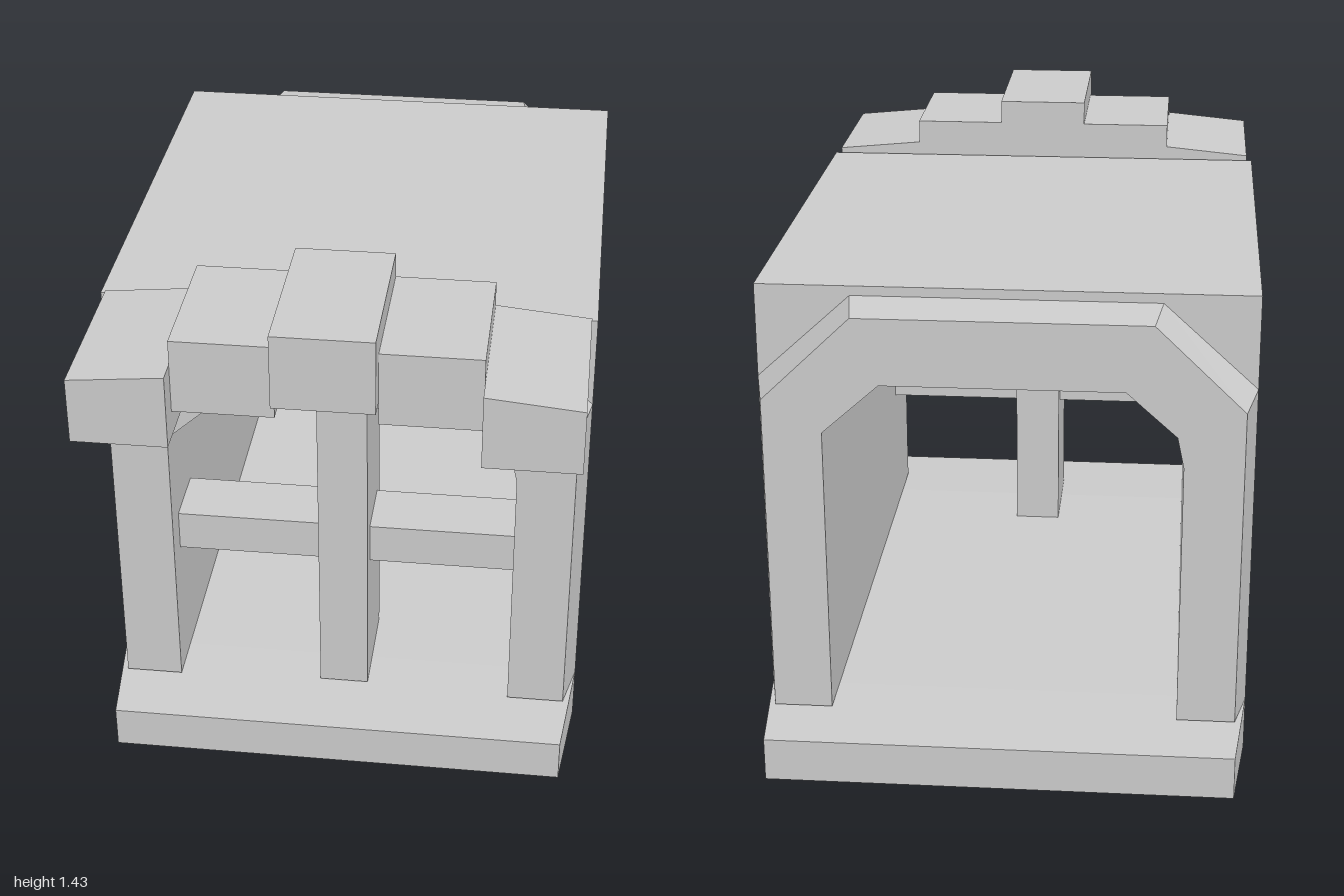
import * as THREE from 'three';

const material = new THREE.MeshStandardMaterial({ color: 0xcccccc, flatShading: true });

function addMesh(group, name, geometry) {
  const mesh = new THREE.Mesh(geometry, material);
  mesh.name = name;
  group.add(mesh);
  return mesh;
}

// Box given by its limits on each axis
function box(x0, x1, y0, y1, z0, z1) {
  return new THREE.BoxGeometry(x1 - x0, y1 - y0, z1 - z0)
    .translate((x0 + x1) / 2, (y0 + y1) / 2, (z0 + z1) / 2);
}

// Move every vertex of a geometry by a rule
function reshape(geometry, rule) {
  const p = geometry.attributes.position;
  const v = new THREE.Vector3();
  for (let i = 0; i < p.count; i++) {
    rule(v.fromBufferAttribute(p, i));
    p.setXYZ(i, v.x, v.y, v.z);
  }
  geometry.computeVertexNormals();
  return geometry;
}

const FLOOR = 0.145, FRONT = 0.555, BACK = -0.71;

// Upside-down U: outer outline around a chamfered opening
function archShape(outerRight) {
  const innerRight = [[0.45, FLOOR], [0.45, 0.92], [0.305, 1.05]];
  const mirror = pts => pts.map(([x, y]) => [-x, y]).reverse();
  const pts = [...outerRight, ...mirror(outerRight),
    ...mirror(innerRight).reverse(), ...[...innerRight].reverse()];
  return new THREE.Shape(pts.map(([x, y]) => new THREE.Vector2(x, y)));
}

// End frame growing along +z and tapering on its outside
function endFrame(depth) {
  const shape = archShape([[0.63, FLOOR], [0.63, 1.02], [0.39, 1.24]]);
  const geometry = new THREE.ExtrudeGeometry(shape, { depth, bevelEnabled: false });
  return reshape(geometry, v => {
    const outer = Math.abs(v.x) > 0.5 || v.y > 1.1;
    if (outer && v.z > depth / 2) {
      v.x *= 0.953;
      if (v.y > 1) v.y -= 0.016;
    }
  });
}

export function createModel() {
  const model = new THREE.Group();
  model.name = 'shelter';

  // Floor slab with tapered lips at both ends
  const stations = [-1, BACK, FRONT, 0.85];
  const slab = new THREE.BoxGeometry(2, 2, 3, 1, 1, 3);
  addMesh(model, 'floorSlab', reshape(slab, v => {
    const i = Math.round(v.z + 1.5);
    const end = i === 0 || i === 3;
    v.set(Math.sign(v.x) * (end ? 0.6 : 0.63),
      v.y > 0 ? (end ? 0.135 : FLOOR) : (end ? 0.02 : 0),
      stations[i]);
  }));

  // Walls and roof around the tunnel
  const walls = new THREE.ExtrudeGeometry(archShape([[0.63, FLOOR], [0.63, 1.265]]),
    { depth: FRONT - BACK, bevelEnabled: false }).translate(0, 0, BACK);
  addMesh(model, 'wallsAndRoof', walls);

  // Chamfered frames at the two openings
  addMesh(model, 'frontFrame', endFrame(0.13)).position.z = FRONT;
  const backFrame = addMesh(model, 'backFrame', endFrame(0.125));
  backFrame.position.z = BACK;
  backFrame.rotation.y = Math.PI;

  // Front window bars
  addMesh(model, 'mullion', box(-0.065, 0.065, FLOOR, 1.05, 0.38, 0.665));
  for (const side of [-1, 1]) {
    const name = side > 0 ? 'left' : 'right';
    const bar = box(0.065, 0.45, 0.52, 0.63, 0.44, 0.61);
    addMesh(model, name + 'Crossbar', bar.translate(side > 0 ? 0 : -0.515, 0, 0));
  }

  // Stepped blocks over the front opening
  const keystone = box(-0.125, 0.125, 1.22, 1.43, 0.565, 1);
  addMesh(model, 'keystone', reshape(keystone, v => {
    if (v.y < 1.3 && v.z > 0.8) v.y = 1.235;
  }));
  for (const side of [-1, 1]) {
    const name = side > 0 ? 'left' : 'right';
    const middle = box(-0.125, 0.125, 1.17, 1.365, 0.565, 0.94);
    addMesh(model, name + 'MiddleBlock', middle.translate(side * 0.25, 0, 0));
    const outer = box(-0.12, 0.12, 1.105, 1.3, 0.565, 1).translate(side * 0.495, 0, 0);
    addMesh(model, name + 'OuterBlock', reshape(outer, v => {
      if (v.y > 1.2 && Math.abs(v.x) > 0.5) v.y = 1.277;
    }));
  }

  return model;
}
